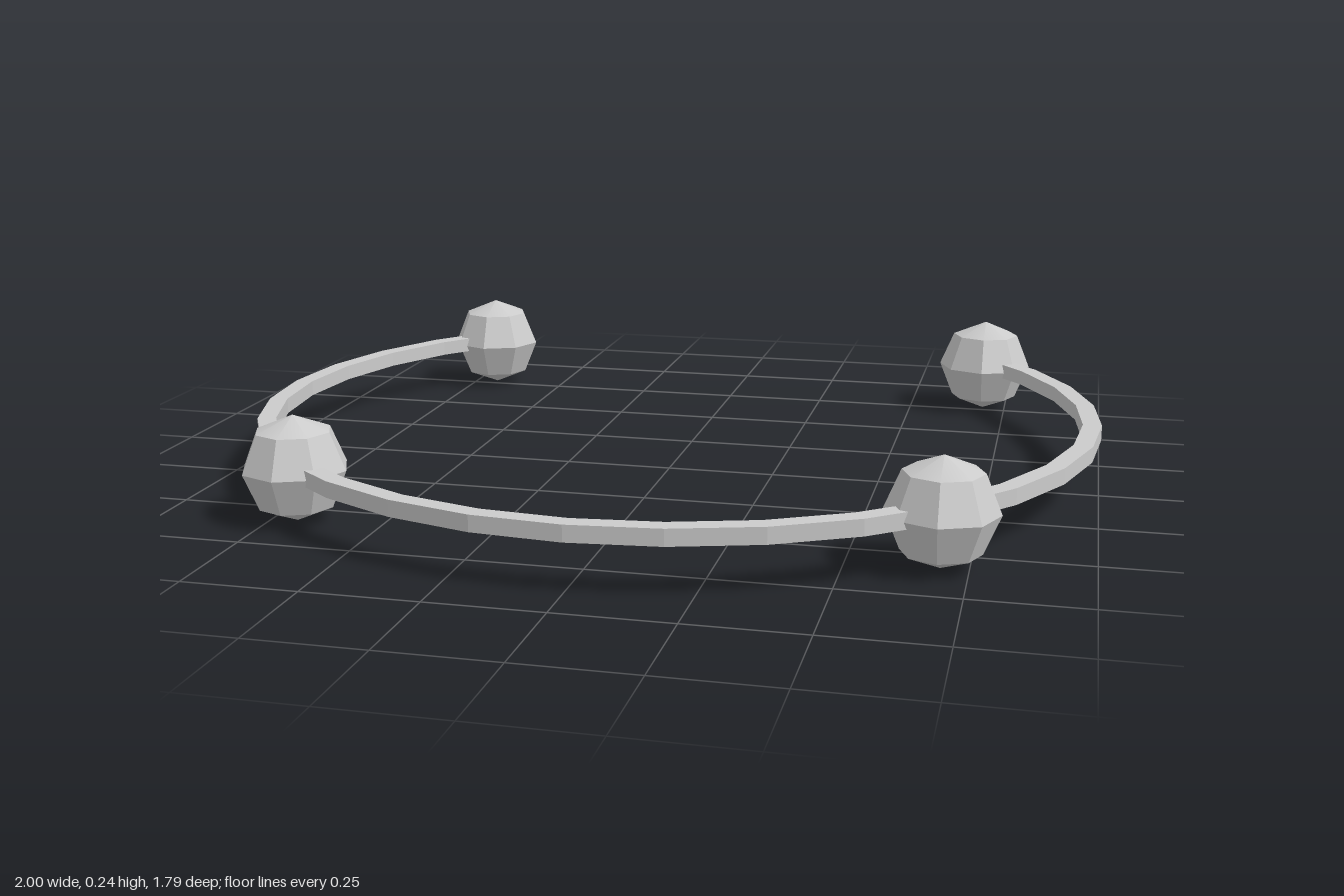
import * as THREE from 'three';
import { toCreasedNormals } from 'three/addons/utils/BufferGeometryUtils.js';

const CENTER_Z = -0.1;
const BEAD_RADIUS = 0.118;

export function createModel() {
  const model = new THREE.Group();
  model.name = 'openRingWithBeads';
  const material = new THREE.MeshStandardMaterial({ color: 0xcccccc });

  // Three-quarter ring of rectangular section, open at the back
  const start = -Math.PI / 4;
  const end = Math.PI * 1.25;
  const thickness = 0.036;
  const shape = new THREE.Shape();
  shape.absarc(0, 0, 1.0, start, end, false);
  shape.absarc(0, 0, 0.957, end, start, true);
  const ringGeometry = new THREE.ExtrudeGeometry(shape, {
    depth: thickness, bevelEnabled: false, curveSegments: 12,
  });
  ringGeometry.translate(0, 0, -thickness / 2);
  ringGeometry.rotateX(Math.PI / 2);
  ringGeometry.scale(1, 1, 0.995);
  const ring = new THREE.Mesh(ringGeometry, material);
  ring.name = 'ring';
  ring.position.set(0, BEAD_RADIUS + 0.003, CENTER_Z);
  model.add(ring);

  // Four faceted beads: one on each end of the ring, two on its front
  const beadGeometry = toCreasedNormals(new THREE.SphereGeometry(BEAD_RADIUS, 8, 4), Math.PI / 6);
  for (const [xName, sx] of [['Left', 1], ['Right', -1]]) {
    for (const [zName, sz] of [['front', 1], ['back', -1]]) {
      const bead = new THREE.Mesh(beadGeometry, material);
      bead.name = `${zName}${xName}Bead`;
      bead.position.set(sx * 0.692, BEAD_RADIUS, CENTER_Z + sz * 0.68);
      model.add(bead);
    }
  }
  return model;
}
